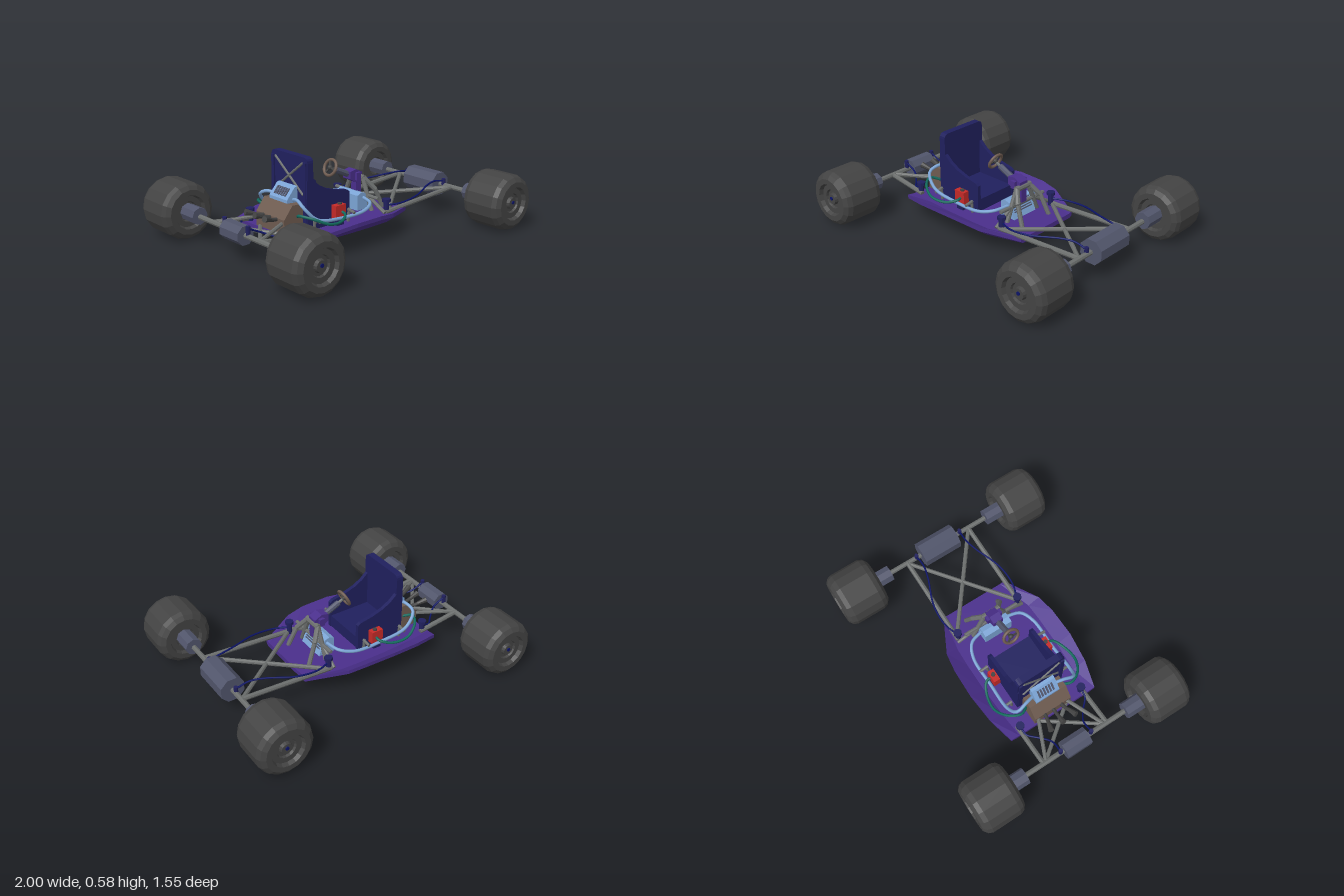
import * as THREE from 'three';

const V = (x, y, z) => new THREE.Vector3(x, y, z);
const mat = (name, color) => {
  const m = new THREE.MeshStandardMaterial({ color });
  m.name = name;
  return m;
};

export function createModel() {
  const model = new THREE.Group();
  const rubber = mat('rubber', 0x434343), purple = mat('purple', 0x4a2f8c), navy = mat('navy', 0x20205e),
    steel = mat('steel', 0x6b6e6d), slate = mat('slate', 0x51556b), sky = mat('light blue', 0x7ca5d6),
    brown = mat('brown', 0x6e5b50), red = mat('red', 0xc62a28), green = mat('green', 0x126a5e),
    cableBlue = mat('cable blue', 0x0c1468);

  const add = (name, geo, material, parent = model) => {
    const m = new THREE.Mesh(geo, material);
    m.name = name;
    parent.add(m);
    return m;
  };
  const flat = (geo) => {
    const g = geo.index ? geo.toNonIndexed() : geo;
    g.computeVertexNormals();
    return g;
  };
  // box given by its min and max corners
  const box = (name, material, x0, x1, y0, y1, z0, z1) =>
    add(name, new THREE.BoxGeometry(x1 - x0, y1 - y0, Math.abs(z1 - z0))
      .translate((x0 + x1) / 2, (y0 + y1) / 2, (z0 + z1) / 2), material);
  // straight bar between two points
  const bar = (name, material, a, b, r, sides = 8, r2 = r) => {
    const d = b.clone().sub(a);
    const m = add(name, flat(new THREE.CylinderGeometry(r2, r, d.length(), sides)), material);
    m.position.copy(a).add(b).multiplyScalar(0.5);
    m.quaternion.setFromUnitVectors(V(0, 1, 0), d.normalize());
    return m;
  };
  const hose = (name, material, pts, r) =>
    add(name, new THREE.TubeGeometry(new THREE.CatmullRomCurve3(pts), 36, r, 7), material);
  // side profile (x, y) extruded across z
  const slab = (name, material, pts, z0, z1) => {
    const shape = new THREE.Shape(pts.map((p) => new THREE.Vector2(...p)));
    return add(name, new THREE.ExtrudeGeometry(shape, { depth: z1 - z0, bevelEnabled: false })
      .translate(0, 0, z0), material);
  };

  // Hull: a shallow tray, stations are x, rim half width, floor half width, rim height
  const stations = [[-0.575, 0.32, 0.28, 0.14], [-0.4, 0.365, 0.295, 0.168], [-0.2, 0.385, 0.305, 0.186],
    [0, 0.38, 0.305, 0.186], [0.13, 0.36, 0.3, 0.172], [0.365, 0.24, 0.225, 0.138]];
  const rings = stations.map(([x, w, f, e]) => [[-f, 0.1], [f, 0.1], [w, e - 0.025], [w, e],
    [f - 0.02, 0.132], [0.02 - f, 0.132], [-w, e], [-w, e - 0.025]].map(([z, y]) => [x, y, z]));
  const pos = [];
  const quad = (a, b, c, d) => pos.push(...a, ...b, ...c, ...a, ...c, ...d);
  for (let i = 0; i < rings.length - 1; i++) {
    for (let k = 0; k < 8; k++) {
      const n = (k + 1) % 8;
      quad(rings[i][k], rings[i + 1][k], rings[i + 1][n], rings[i][n]);
    }
  }
  const back = rings[0], front = rings[rings.length - 1];
  for (const [a, b, c, d] of [[0, 1, 4, 5], [1, 2, 3, 4], [5, 6, 7, 0]]) {
    quad(back[a], back[b], back[c], back[d]);
    quad(front[d], front[c], front[b], front[a]);
  }
  const hullGeo = new THREE.BufferGeometry();
  hullGeo.setAttribute('position', new THREE.Float32BufferAttribute(pos, 3));
  hullGeo.computeVertexNormals();
  add('hull', hullGeo, purple);

  // Wheels with recessed hubs on both faces
  const tyre = [[0, -0.11], [0.06, -0.11], [0.065, -0.125], [0.1, -0.125], [0.11, -0.15], [0.145, -0.15],
    [0.172, -0.13], [0.184, -0.1], [0.184, 0.1], [0.172, 0.13], [0.145, 0.15], [0.11, 0.15],
    [0.1, 0.125], [0.065, 0.125], [0.06, 0.11], [0, 0.11]].map((p) => new THREE.Vector2(...p));
  const wheelGeo = flat(new THREE.LatheGeometry(tyre, 16).rotateX(Math.PI / 2));
  for (const x of [-0.816, 0.816]) {
    for (const s of [-1, 1]) {
      add('wheel', wheelGeo, rubber).position.set(x, 0.184, s * 0.627);
      bar('wheelHub', rubber, V(x, 0.184, s * 0.72), V(x, 0.184, s * 0.758), 0.045, 14, 0.035);
      bar('wheelBolt', cableBlue, V(x, 0.19, s * 0.75), V(x, 0.19, s * 0.764), 0.012);
      bar('brakeDrum', slate, V(x, 0.184, s * 0.375), V(x, 0.184, s * 0.51), 0.056);
    }
    bar('axle', steel, V(x, 0.18, -0.5), V(x, 0.18, 0.5), 0.017);
  }
  bar('frontGearbox', slate, V(0.816, 0.18, -0.135), V(0.816, 0.18, 0.135), 0.084).rotateY(Math.PI / 8);
  bar('rearGearbox', slate, V(-0.816, 0.18, -0.09), V(-0.816, 0.18, 0.09), 0.062).rotateY(Math.PI / 8);

  // Frame rails, cross braces, cables and cable mounts
  for (const s of [-1, 1]) {
    bar('frontRail', steel, V(0.18, 0.14, s * 0.24), V(0.816, 0.18, s * 0.24), 0.016);
    bar('frontBrace', steel, V(0.2, 0.14, s * 0.24), V(0.81, 0.18, -s * 0.24), 0.014);
    bar('rearRail', steel, V(-0.52, 0.14, s * 0.24), V(-0.816, 0.18, s * 0.24), 0.016);
    bar('rearLowerBrace', steel, V(-0.55, 0.13, s * 0.12), V(-0.81, 0.17, -s * 0.22), 0.013);
    bar('rearUpperBrace', steel, V(-0.54, 0.2, s * 0.1), V(-0.81, 0.18, s * 0.22), 0.013);
    for (const [x, top] of [[-0.54, 0.215], [0.195, 0.225]]) {
      bar('cableMount', navy, V(x, 0.13, s * 0.232), V(x, top, s * 0.232), 0.018);
      bar('cableMountCap', navy, V(x, top - 0.02, s * 0.232), V(x, top, s * 0.232), 0.028);
    }
    hose('frontCable', cableBlue, [V(0.195, 0.18, s * 0.23), V(0.3, 0.185, s * 0.265), V(0.45, 0.2, s * 0.258),
      V(0.63, 0.222, s * 0.19), V(0.72, 0.225, s * 0.168), V(0.812, 0.21, s * 0.17)], 0.006);
    hose('rearCable', cableBlue, [V(-0.54, 0.18, s * 0.23), V(-0.6, 0.16, s * 0.225), V(-0.66, 0.16, s * 0.17),
      V(-0.73, 0.19, s * 0.12), V(-0.816, 0.23, s * 0.115)], 0.006);
    bar('frontCablePlug', navy, V(0.812, 0.18, s * 0.17), V(0.812, 0.225, s * 0.17), 0.014);
    bar('rearCablePlug', navy, V(-0.816, 0.19, s * 0.115), V(-0.816, 0.245, s * 0.115), 0.014);

    // Coolant and fuel hoses
    hose('coolantHose', sky, [V(-0.45, 0.32, s * 0.08), V(-0.465, 0.33, s * 0.14), V(-0.475, 0.3, s * 0.21),
      V(-0.4, 0.22, s * 0.24), V(-0.2, 0.185, s * 0.238), V(0, 0.19, s * 0.235), V(0.09, 0.21, s * 0.19),
      V(0.12, 0.22, s * 0.09)], 0.011);
    hose('fuelHose', green, [V(-0.45, 0.22, s * 0.12), V(-0.49, 0.25, s * 0.19), V(-0.45, 0.24, s * 0.265),
      V(-0.36, 0.2, s * 0.31), V(-0.25, 0.19, s * 0.295), V(-0.18, 0.21, s * 0.25), V(-0.18, 0.22, s * 0.2)], 0.009);

    // Fuel canisters and hose clamps
    const canisterZ = s * 0.2;
    box('fuelCanister', red, -0.228, -0.146, 0.175, 0.262, canisterZ - 0.022, canisterZ + 0.022);
    bar('canisterCap', rubber, V(-0.18, 0.26, canisterZ), V(-0.18, 0.272, canisterZ), 0.014);
    box('canisterStand', navy, -0.215, -0.16, 0.125, 0.18, canisterZ - 0.018, canisterZ + 0.018);
    for (const x of [-0.38, -0.1]) {
      bar('clampPost', steel, V(x, 0.125, s * 0.19), V(x, 0.215, s * 0.2), 0.01);
      bar('clampArm', steel, V(x, 0.21, s * 0.19), V(x, 0.2, s * 0.25), 0.01);
    }

    // Steering support legs
    bar('supportLeg', steel, V(0.16, 0.335, s * 0.055), V(0.215, 0.26, s * 0.105), 0.017);
    bar('supportFoot', steel, V(0.215, 0.26, s * 0.105), V(0.27, 0.13, s * 0.125), 0.015);
    bar('supportPost', steel, V(0.155, 0.13, s * 0.14), V(0.155, 0.345, s * 0.05), 0.015);
    bar('sideStrut', steel, V(0.155, 0.225, s * 0.1), V(0.165, 0.14, s * 0.25), 0.012);
  }
  bar('supportCrossbar', steel, V(0.16, 0.335, -0.065), V(0.16, 0.335, 0.065), 0.019);
  bar('floorCrossbar', steel, V(0.155, 0.225, -0.2), V(0.155, 0.225, 0.2), 0.012);

  // Seat: rounded backrest, cushion and side panels
  const w = 0.17, r = 0.035, top = 0.585, backShape = new THREE.Shape();
  backShape.moveTo(-w, 0.13).lineTo(w, 0.13).lineTo(w, top - r).quadraticCurveTo(w, top, w - r, top)
    .lineTo(r - w, top).quadraticCurveTo(-w, top, -w, top - r);
  add('seatBack', new THREE.ExtrudeGeometry(backShape, { depth: 0.045, bevelEnabled: false, curveSegments: 4 })
    .rotateY(Math.PI / 2).translate(-0.41, 0, 0), navy);
  box('seatCushion', navy, -0.4, -0.075, 0.13, 0.215, -0.15, 0.15);
  for (const z of [-0.17, 0.145]) {
    slab('seatSide', navy, [[-0.415, 0.13], [-0.07, 0.13], [-0.07, 0.315], [-0.09, 0.33], [-0.18, 0.347],
      [-0.26, 0.372], [-0.32, 0.405], [-0.365, 0.445], [-0.415, 0.445]], z, z + 0.025);
  }
  for (const s of [-1, 1]) {
    bar('seatBackBrace', steel, V(-0.412, 0.35, s * 0.13), V(-0.412, 0.55, -s * 0.13), 0.008);
    box('seatBackRib', navy, -0.42, -0.405, 0.15, 0.555, s * 0.15 - 0.012, s * 0.15 + 0.012);
  }

  // Steering wheel, column and dashboard housing
  const steering = new THREE.Group();
  steering.name = 'steeringWheel';
  steering.position.set(-0.078, 0.435, 0);
  steering.quaternion.setFromUnitVectors(V(0, 0, 1), V(-0.91, 0.41, 0).normalize());
  model.add(steering);
  add('steeringRim', new THREE.TorusGeometry(0.052, 0.01, 8, 20), brown, steering);
  add('steeringHub', new THREE.SphereGeometry(0.017, 10, 8), rubber, steering);
  for (let i = 0; i < 3; i++) {
    add('steeringSpoke', new THREE.BoxGeometry(0.012, 0.05, 0.008).translate(0, 0.025, 0), rubber, steering)
      .rotation.z = i * Math.PI * 2 / 3;
  }
  bar('steeringShaft', steel, V(-0.078, 0.432, 0), V(0.1, 0.352, 0), 0.01);
  bar('steeringColumn', slate, V(-0.035, 0.413, 0), V(0.09, 0.356, 0), 0.02);
  slab('columnHousing', purple, [[0.065, 0.335], [0.12, 0.305], [0.165, 0.33], [0.165, 0.37],
    [0.115, 0.395], [0.065, 0.385]], -0.035, 0.035);
  box('housingCrossPiece', purple, 0.105, 0.14, 0.325, 0.375, -0.055, 0.055);
  box('housingStem', purple, 0.125, 0.17, 0.23, 0.33, -0.022, 0.022);

  // Front radiator with slats
  slab('radiator', sky, [[0.065, 0.14], [0.18, 0.14], [0.165, 0.175], [0.135, 0.245], [0.1, 0.255],
    [0.065, 0.24]], -0.1, 0.1);
  for (let i = 0; i < 5; i++) {
    const t = i / 4;
    const slat = add('radiatorSlat', new THREE.BoxGeometry(0.008, 0.007, 0.16), slate);
    slat.position.set(0.163 - 0.024 * t, 0.18 + 0.056 * t, 0);
    slat.rotation.z = 0.4;
  }

  // Engine, intake box and exhausts
  slab('engine', brown, [[-0.565, 0.13], [-0.42, 0.13], [-0.42, 0.3], [-0.5, 0.305], [-0.565, 0.225]], -0.135, 0.135);
  slab('intakeBox', sky, [[-0.5, 0.28], [-0.42, 0.25], [-0.42, 0.4], [-0.44, 0.395], [-0.5, 0.325]], -0.085, 0.085);
  for (let i = 0; i < 6; i++) {
    const fin = add('intakeFin', new THREE.BoxGeometry(0.055, 0.009, 0.012), slate);
    fin.position.set(-0.47, 0.361, -0.05 + i * 0.02);
    fin.rotation.z = 0.86;
  }
  for (const k of [-1, 0, 1]) {
    hose('exhaustPipe', rubber, [V(-0.54, 0.215, k * 0.06), V(-0.59, 0.22, k * 0.066), V(-0.63, 0.232, k * 0.078)], 0.012);
    bar('exhaustTip', rubber, V(-0.62, 0.23, k * 0.076), V(-0.68, 0.25, k * 0.094), 0.012, 8, 0.02);
  }
  return model;
}
